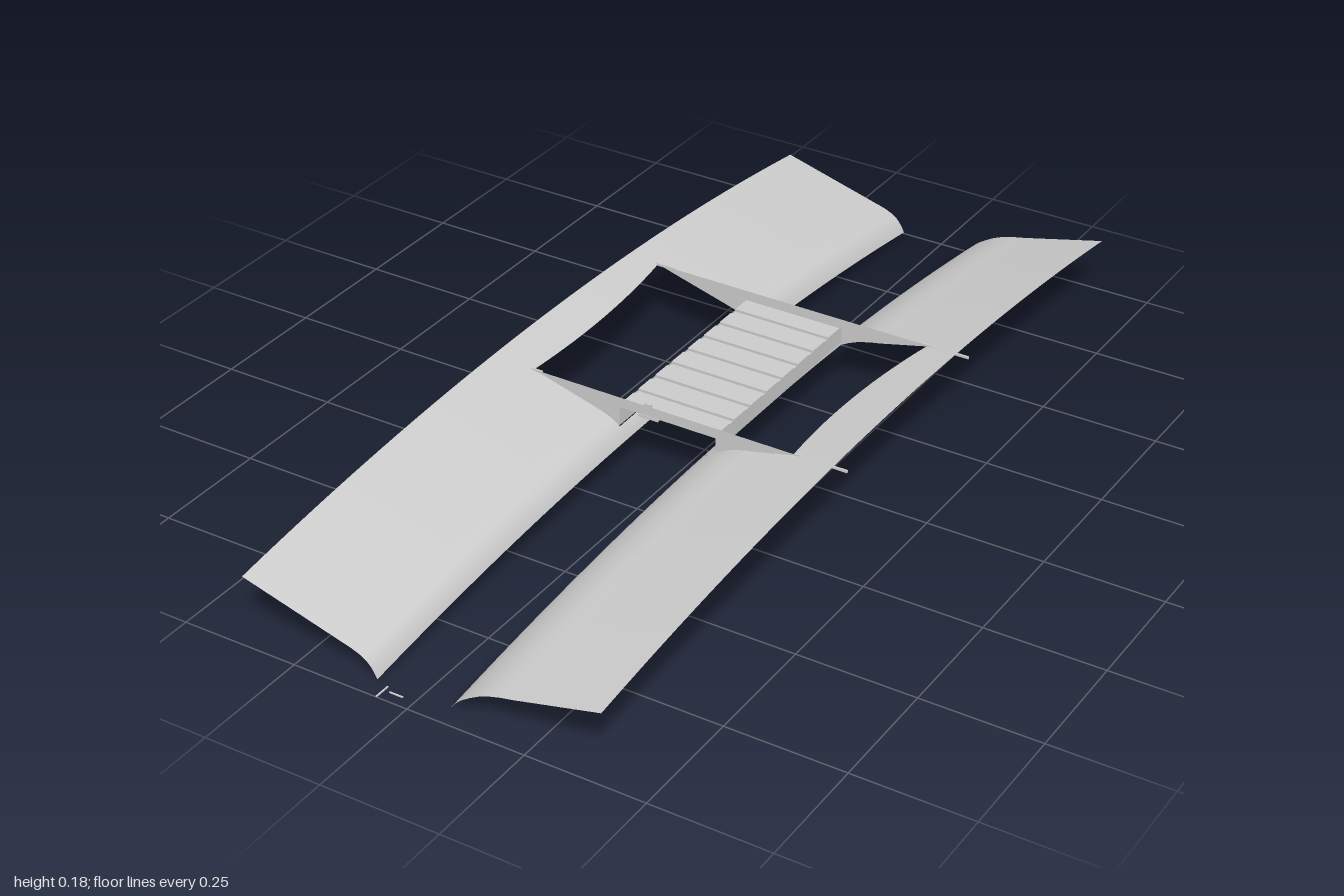
import * as THREE from 'three';

const material = new THREE.MeshStandardMaterial({ color: 0xcccccc, side: THREE.DoubleSide });

// Cross-sections (distance from the centre line, height) of the two curved panels
const LEFT = [[0.066, 0.003], [0.075, 0.015], [0.09, 0.029], [0.11, 0.042], [0.13, 0.053],
  [0.15, 0.061], [0.175, 0.068], [0.2, 0.073], [0.385, 0.118]];
const RIGHT = [[0.094, 0.003], [0.1, 0.015], [0.107, 0.025], [0.115, 0.034], [0.124, 0.04],
  [0.136, 0.046], [0.15, 0.051], [0.39, 0.118]];

const Z_BACK = -0.35, Z_FRONT = 0.14;   // ends of the opening
const FRAME_TOP = 0.16, VENT_Y = 0.138, VENT_X = 0.11;

// Lengthwise arch, highest near the middle
const arch = z => 0.066 * (1 - ((z + 0.02) / 0.98) ** 2);

function profileY(profile, x) {
  let i = 1;
  while (i < profile.length - 1 && x > profile[i][0]) i++;
  const [x0, y0] = profile[i - 1], [x1, y1] = profile[i];
  return y0 + (y1 - y0) * (x - x0) / (x1 - x0);
}

// Where a panel rises through the given level: outer edge of its opening
function edgeX(profile, z, level) {
  const [x0, y0] = profile[profile.length - 2], [x1, y1] = profile[profile.length - 1];
  return x1 - (y1 + arch(z) - level) * (x1 - x0) / (y1 - y0);
}

function add(parent, name, geometry, x = 0, y = 0, z = 0) {
  const mesh = new THREE.Mesh(geometry, material);
  mesh.name = name;
  mesh.position.set(x, y, z);
  parent.add(mesh);
  return mesh;
}

// Curved sheet between two x limits, which may vary with z
function sheet(profile, side, inner, outer, z0, z1, nx, nz) {
  const geometry = new THREE.PlaneGeometry(1, 1, nx, nz);
  const pos = geometry.attributes.position;
  for (let i = 0; i < pos.count; i++) {
    const u = pos.getX(i) + 0.5;
    const z = z0 + (z1 - z0) * (0.5 - pos.getY(i));
    const a = inner(z), b = outer(z);
    // denser columns near the curled inner edge
    const x = a + (b - a) * Math.pow(side > 0 ? u : 1 - u, 1.6);
    pos.setXYZ(i, side * x, profileY(profile, x) + arch(z), z);
  }
  geometry.computeVertexNormals();
  return geometry;
}

function buildPanel(name, profile, side, level) {
  const panel = new THREE.Group();
  panel.name = name;
  const inner = () => profile[0][0];
  const outer = () => profile[profile.length - 1][0];
  add(panel, 'rearPanel', sheet(profile, side, inner, outer, -1, Z_BACK, 28, 16));
  add(panel, 'frontPanel', sheet(profile, side, inner, outer, Z_FRONT, 0.96, 28, 20));
  add(panel, 'innerStrip', sheet(profile, side, inner, () => VENT_X, Z_BACK, Z_FRONT, 10, 14));
  add(panel, 'outerStrip', sheet(profile, side, z => edgeX(profile, z, level), outer, Z_BACK, Z_FRONT, 6, 14));
  return panel;
}

// Upright cross plate filling the gap between the level top and the panels
function frameGeometry(z) {
  const s = new THREE.Shape();
  const h = (profile, x) => profileY(profile, x) + arch(z);
  s.moveTo(-edgeX(RIGHT, z, FRAME_TOP), FRAME_TOP);
  for (const x of [0.15, 0.136, 0.124, VENT_X]) s.lineTo(-x, h(RIGHT, x));
  s.lineTo(-VENT_X, VENT_Y);
  s.lineTo(VENT_X, VENT_Y);
  for (const x of [VENT_X, 0.13, 0.15, 0.175, 0.2]) s.lineTo(x, h(LEFT, x));
  s.lineTo(edgeX(LEFT, z, FRAME_TOP), FRAME_TOP);
  s.closePath();
  return new THREE.ShapeGeometry(s);
}

export function createModel() {
  const model = new THREE.Group();
  model.name = 'curvedPanelsWithVent';

  model.add(buildPanel('leftPanel', LEFT, 1, 0.157));
  model.add(buildPanel('rightPanel', RIGHT, -1, FRAME_TOP));

  // Cross frames and the pins that pass through the panels
  for (const [name, z] of [['frontFrame', Z_FRONT], ['rearFrame', Z_BACK]]) {
    add(model, name, frameGeometry(z), 0, 0, z);
    for (const side of [-1, 1]) {
      add(model, 'framePin', new THREE.BoxGeometry(0.11, 0.005, 0.004), side * 0.345, FRAME_TOP, z);
    }
  }

  // Side walls of the vent
  const length = Z_FRONT - Z_BACK, middle = (Z_FRONT + Z_BACK) / 2;
  for (const [side, bottom] of [[1, 0.107], [-1, 0.096]]) {
    const wall = new THREE.PlaneGeometry(length, 0.142 - bottom).rotateY(side * Math.PI / 2);
    add(model, 'ventWall', wall, side * VENT_X, (0.142 + bottom) / 2, middle);
  }

  // Vent floor with raised slats
  const floor = new THREE.PlaneGeometry(VENT_X * 2, length).rotateX(-Math.PI / 2);
  add(model, 'ventFloor', floor, 0, VENT_Y, middle);
  const slats = 8, pitch = length / slats;
  for (let i = 0; i < slats; i++) {
    const slat = new THREE.BoxGeometry(VENT_X * 2, 0.006, pitch * 0.72);
    add(model, 'ventSlat', slat, 0, VENT_Y + 0.003, Z_BACK + pitch * (i + 0.5));
  }

  // Catch and tab on the front frame
  add(model, 'catch', new THREE.BoxGeometry(0.045, 0.006, 0.006), -0.044, 0.134, Z_FRONT - 0.003);
  add(model, 'tab', new THREE.BoxGeometry(0.016, 0.005, 0.004), -0.044, 0.162, Z_FRONT - 0.002);

  // Small loose strips at the front end
  add(model, 'longStrip', new THREE.BoxGeometry(0.003, 0.002, 0.035), -0.067, 0.001, 0.9825);
  add(model, 'crossStrip', new THREE.BoxGeometry(0.03, 0.002, 0.003), -0.04, 0.001, 0.977);

  return model;
}
